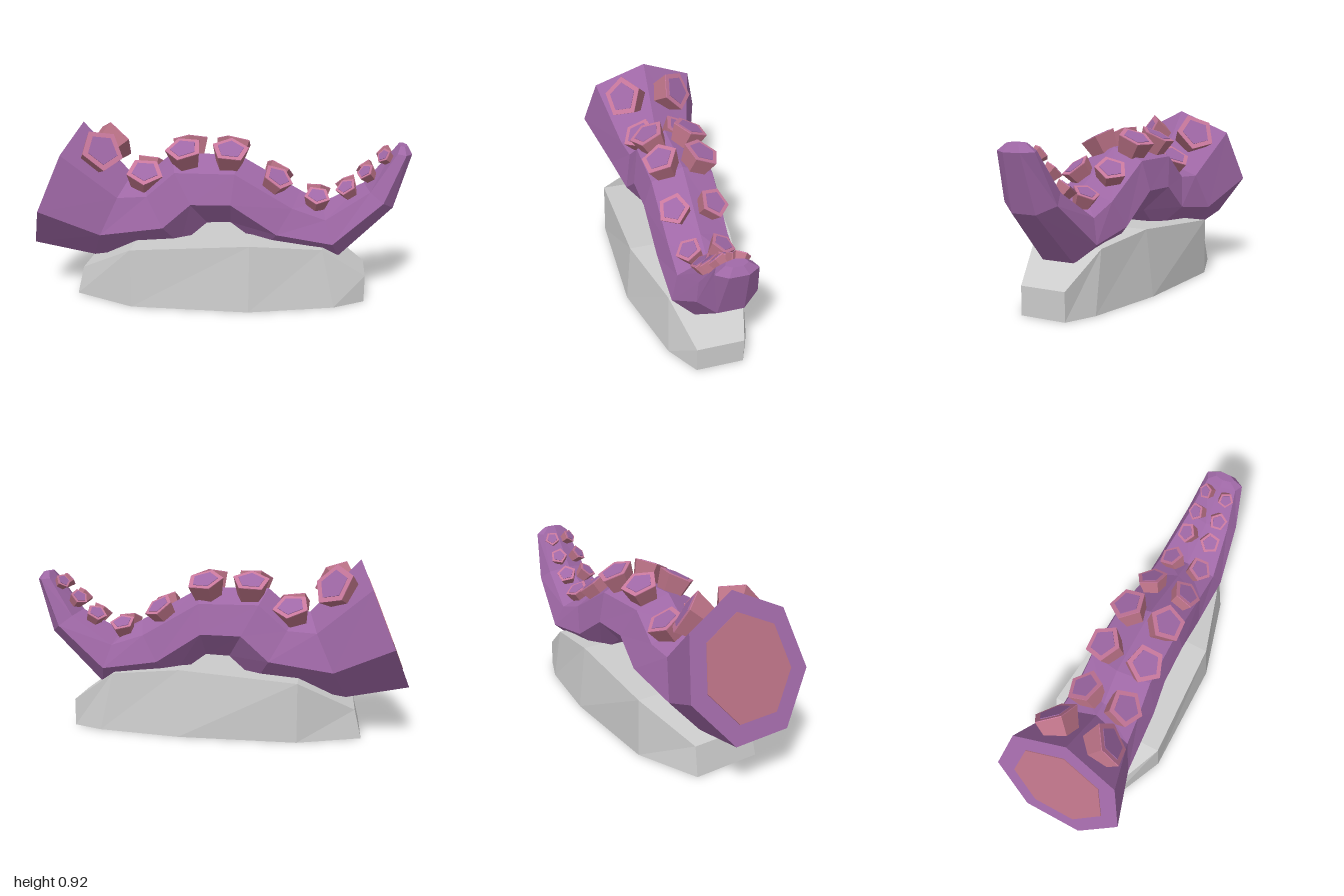
import * as THREE from 'three';

const material = (color) => new THREE.MeshStandardMaterial({ color, flatShading: true });

// Skin over a row of equal-sized rings (each counterclockwise about +x), capped at both ends
function loft(rings) {
  const n = rings[0].length, index = [], last = (rings.length - 1) * n;
  for (let i = 0; i < rings.length - 1; i++) {
    for (let j = 0; j < n; j++) {
      const a = i * n + j, b = i * n + (j + 1) % n;
      index.push(a, b, a + n, b, b + n, a + n);
    }
  }
  for (let j = 1; j < n - 1; j++) {
    index.push(0, j + 1, j, last, last + j, last + j + 1);
  }
  const indexed = new THREE.BufferGeometry().setFromPoints(rings.flat());
  indexed.setIndex(index);
  const geometry = indexed.toNonIndexed();
  geometry.computeVertexNormals();
  return geometry;
}

// Seven-sided ring around (x, y); (ux, uy) points to its ridge
function ring([x, y, ux, uy, width, height = width], scale = 1, shift = 0) {
  const up = new THREE.Vector2(ux, uy).normalize();
  return Array.from({ length: 7 }, (_, i) => {
    const a = i / 7 * Math.PI * 2, h = Math.cos(a) * height * scale;
    return new THREE.Vector3(
      x + up.x * h + up.y * shift,
      y + up.y * h - up.x * shift,
      Math.sin(a) * width * scale);
  });
}

export function createModel() {
  const model = new THREE.Group();
  const purple = material(0x9f68a6), pink = material(0xc8789c), salmon = material(0xb87084);
  const add = (name, geometry, mat, parent = model) => {
    const mesh = new THREE.Mesh(geometry, mat);
    mesh.name = name;
    parent.add(mesh);
  };

  // Rock: x at foot, x at top, top height, front z and back z at foot, then at top
  const stations = [
    [-0.76, -0.725, 0.15, 0.19, -0.18, 0.18, -0.17],
    [-0.43, -0.43, 0.31, 0.34, -0.30, 0.33, -0.30],
    [0.19, 0.19, 0.35, 0.34, -0.28, 0.31, -0.24],
    [0.63, 0.56, 0.31, 0.22, -0.20, 0.20, -0.19],
    [0.79, 0.79, 0.145, 0.115, -0.13, 0.115, -0.13],
  ];
  add('rock', loft(stations.map(([x0, x1, y, f0, b0, f1, b1]) => [
    new THREE.Vector3(x1, y, b1), new THREE.Vector3(x1, y, f1),
    new THREE.Vector3(x0, 0, f0), new THREE.Vector3(x0, 0, b0),
  ])), material(0xcccccc));

  // Tentacle: centre x, y, ridge direction, width, height
  const sections = [
    [-0.877, 0.58, 0.371, 0.929, 0.358, 0.364],
    [-0.586, 0.408, 0.41, 0.91, 0.252],
    [-0.30, 0.443, -0.5, 0.86, 0.23, 0.215],
    [-0.153, 0.572, -0.49, 0.87, 0.215],
    [0.085, 0.575, 0.1, 0.99, 0.21, 0.185],
    [0.34, 0.415, 0.5, 0.86, 0.20, 0.185],
    [0.60, 0.37, -0.32, 0.95, 0.20, 0.15],
    [0.845, 0.568, -0.8, 0.6, 0.15, 0.10],
    [0.955, 0.80, -1, 0.1, 0.105, 0.05],
    [0.955, 0.836, -1, 0.1, 0.055, 0.025],
  ];
  add('tentacle', loft(sections.map((s) => ring(s))), purple);
  add('cutFlesh', loft([ring(sections[0], 0.72, -0.004), ring(sections[0], 0.72, 0.004)]), salmon);

  // Suckers: face centre, facing direction, radius; one on each side
  const suckers = [
    [-0.60, 0.80, 0.16, 0.55, 0.5, 0.62, 0.118],
    [-0.385, 0.68, 0.12, 0.15, 0.85, 0.5, 0.1],
    [-0.175, 0.81, 0.12, -0.08, 0.9, 0.42, 0.1],
    [0.07, 0.81, 0.115, 0.12, 0.9, 0.42, 0.1],
    [0.32, 0.67, 0.107, 0.45, 0.8, 0.42, 0.085],
    [0.525, 0.572, 0.088, 0.1, 0.88, 0.45, 0.07],
    [0.67, 0.62, 0.072, -0.45, 0.78, 0.45, 0.058],
    [0.765, 0.705, 0.068, -0.58, 0.68, 0.45, 0.05],
    [0.855, 0.79, 0.06, -0.65, 0.58, 0.45, 0.043],
  ];
  const upAxis = new THREE.Vector3(0, 1, 0);
  for (const side of [1, -1]) {
    suckers.forEach(([x, y, z, nx, ny, nz, r], i) => {
      const sucker = new THREE.Group();
      sucker.name = (side > 0 ? 'frontSucker' : 'backSucker') + (i + 1);
      sucker.position.set(x, y, z * side);
      sucker.quaternion.setFromUnitVectors(upAxis, new THREE.Vector3(nx, ny, nz * side).normalize());
      const turn = i * 0.9 + side * 0.5;
      const disc = (name, top, bottom, height, lift, mat) => {
        const geometry = new THREE.CylinderGeometry(top, bottom, height, 5);
        geometry.rotateY(turn);
        geometry.translate(0, lift - height / 2, 0);
        add(name, geometry, mat, sucker);
      };
      disc('suckerStem', r, r * 0.72, r * 1.1, 0, salmon);
      disc('suckerRim', r, r, 0.004, 0.002, pink);
      disc('suckerFace', r * 0.72, r * 0.72, 0.004, 0.005, purple);
      model.add(sucker);
    });
  }
  return model;
}
